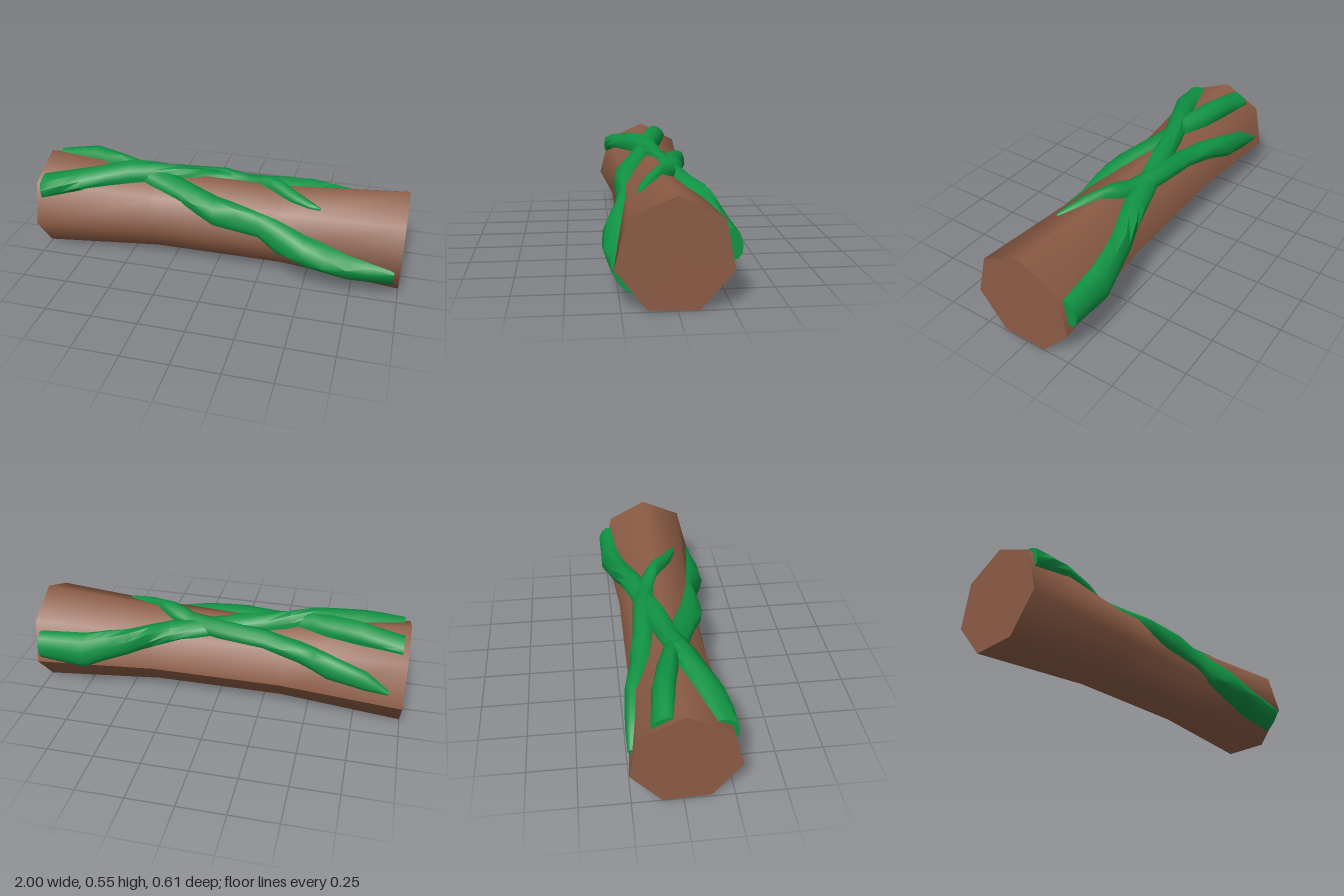
import * as THREE from 'three';
import { toCreasedNormals } from 'three/addons/utils/BufferGeometryUtils.js';

// Seven-sided log section as [z, y] at the ends, around its axis
const CZ = 0.005, CY = 0.26;
const SECTION = [[-0.255, 0.18], [-0.21, 0.415], [0, 0.525], [0.22, 0.43],
  [0.28, 0.2], [0.135, 0.01], [-0.1, 0.0], [-0.255, 0.18]].map(([z, y]) => [z - CZ, y - CY]);

// The log is waisted in the middle
const scaleAt = x => THREE.MathUtils.lerp(0.81, 1, Math.max(0, (Math.abs(x) - 0.35) / 0.65));

// Distance from the axis to the bark; the angle runs from the top toward +z
function barkRadius(x, a) {
  const dz = Math.sin(a), dy = Math.cos(a);
  for (let i = 0; i < SECTION.length - 1; i++) {
    const [pz, py] = SECTION[i], [qz, qy] = SECTION[i + 1];
    const ez = qz - pz, ey = qy - py;
    const det = dz * ey - dy * ez;
    const r = (pz * ey - py * ez) / det;
    const t = (pz * dy - py * dz) / det;
    if (r > 0 && t >= -1e-6 && t <= 1 + 1e-6) return r * scaleAt(x);
  }
  return 0.25 * scaleAt(x);
}

// Skin a list of rings, each a list of [x, y, z]
function skin(rings) {
  const n = rings[0].length, index = [];
  for (let i = 0; i < rings.length - 1; i++) {
    for (let j = 0; j < n - 1; j++) {
      const a = i * n + j, b = a + 1, c = a + n, d = c + 1;
      index.push(a, b, c, b, d, c);
    }
  }
  const g = new THREE.BufferGeometry();
  g.setAttribute('position', new THREE.Float32BufferAttribute(rings.flat(2), 3));
  g.setIndex(index);
  g.computeVertexNormals();
  return g;
}

const logRing = (x, s = scaleAt(x)) => SECTION.map(([z, y]) => [x, CY + y * s, CZ + z * s]);

// Vine hugging the bark; keys are [x, angle, half width, thickness], angles in degrees
const PROFILE = [[-1, -0.15], [-0.85, 0.45], [-0.5, 0.85], [0, 1], [0.5, 0.85], [0.85, 0.45], [1, -0.15]];
function vine(keys) {
  const rows = [];
  keys.forEach((k, i) => {
    if (i) rows.push(k.map((v, c) => (v + keys[i - 1][c]) / 2));
    rows.push(k);
  });
  // Blunt closed ends
  const first = [...rows[0]], last = [...rows[rows.length - 1]];
  first[3] = last[3] = -0.01;
  const rings = [first, ...rows, last].map(([x, angle, half, thick]) => PROFILE.map(([u, h]) => {
    const a = THREE.MathUtils.degToRad(angle + u * half);
    const r = barkRadius(x, a) + (thick < 0 ? thick : thick * h);
    return [x, CY + Math.cos(a) * r, CZ + Math.sin(a) * r];
  }));
  return toCreasedNormals(skin(rings), 0.9);
}

const VINES = {
  vineToBack: [[-0.97, 53, 17, 0.03], [-0.75, 37, 18, 0.06], [-0.5, 14, 19, 0.075], [-0.25, -6, 17, 0.045],
    [0, -24, 17, 0.04], [0.25, -42, 19, 0.045], [0.47, -66, 20, 0.07], [0.72, -84, 24, 0.075], [0.97, -82, 18, 0.06]],
  vineToFront: [[-0.97, -27, 14, 0.025], [-0.75, -18, 15, 0.075], [-0.58, -9, 15, 0.06], [-0.4, 10, 18, 0.04],
    [-0.22, 28, 20, 0.04], [0, 57, 24, 0.045], [0.25, 71, 19, 0.03], [0.35, 83, 24, 0.05], [0.5, 96, 21, 0.08],
    [0.73, 111, 19, 0.07], [0.97, 118, 17, 0.03]],
  vineBranch: [[-0.92, -90, 3, 0.02], [-0.8, -79, 13, 0.04], [-0.6, -67, 18, 0.05], [-0.45, -51, 17, 0.035],
    [-0.25, -37, 16, 0.05], [0, -30, 16, 0.06], [0.15, -21, 15, 0.035], [0.27, -6, 14, 0.045],
    [0.4, 18, 11, 0.035], [0.5, 31, 7, 0.02], [0.56, 37, 2, 0.01]],
};

export function createModel() {
  const bark = new THREE.MeshStandardMaterial({ color: 0x8c5c45 });
  bark.name = 'barkBrown';
  const leaf = new THREE.MeshStandardMaterial({ color: 0x109344 });
  leaf.name = 'vineGreen';

  const group = new THREE.Group();
  const add = (name, geometry, material) => {
    const mesh = new THREE.Mesh(geometry, material);
    mesh.name = name;
    group.add(mesh);
  };

  // Log body and its two cut ends
  add('logBark', skin([-1, -0.35, 0.35, 1].map(x => logRing(x))), bark);
  add('logEndLeft', skin([logRing(1), logRing(1, 0)]), bark);
  add('logEndRight', skin([logRing(-1, 0), logRing(-1)]), bark);

  // Vines creeping over the log
  for (const [name, keys] of Object.entries(VINES)) add(name, vine(keys), leaf);
  return group;
}
